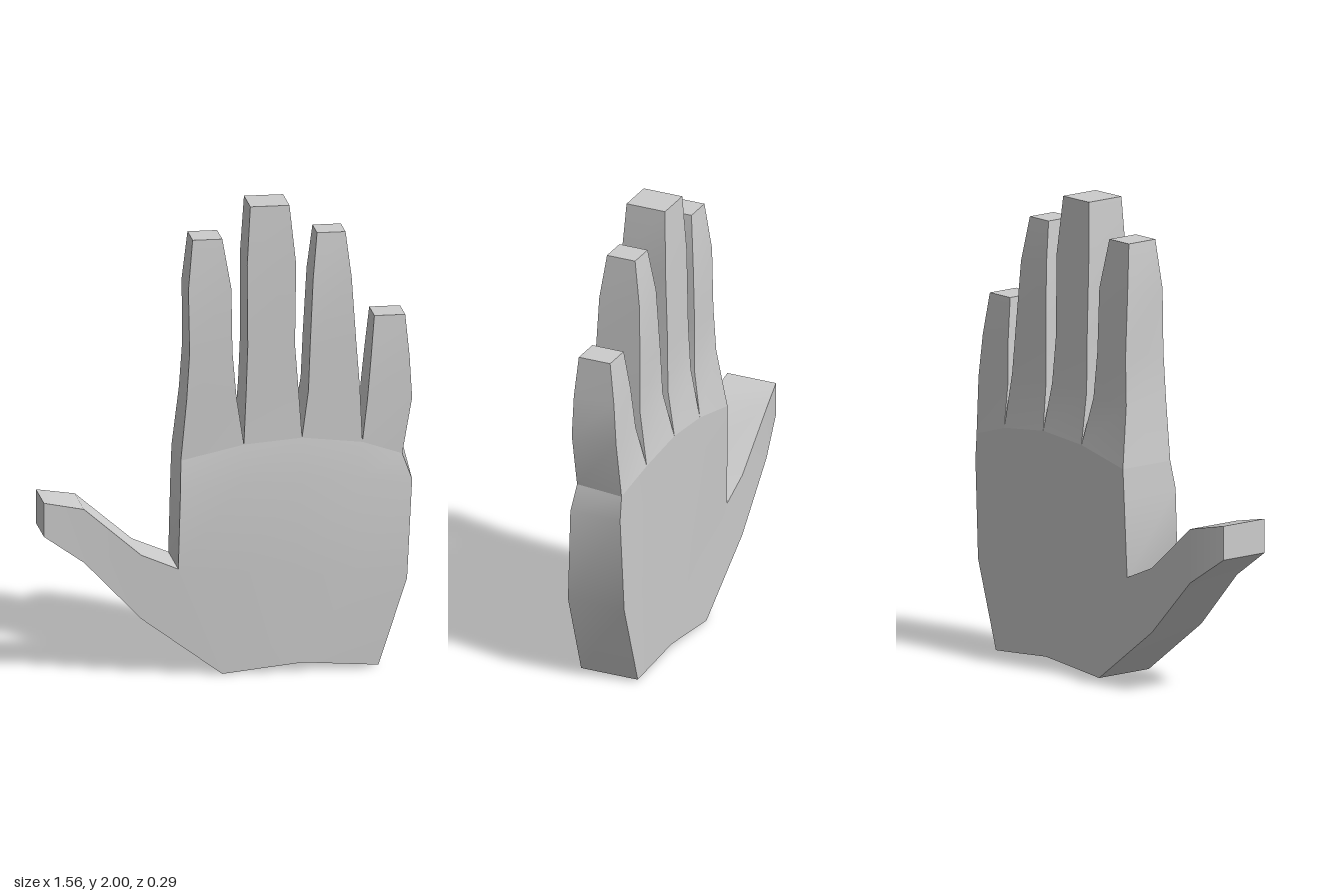
import * as THREE from 'three';
import { toCreasedNormals } from 'three/addons/utils/BufferGeometryUtils.js';

const material = new THREE.MeshStandardMaterial({ color: 0xcccccc });

// Closed slab from rows of points [x, y, zFront, zBack, xBack = x].
// Rows run along the part; columns run across it.
function slab(name, rows, { capStart = false, capEnd = false } = {}) {
  const n = rows[0].length;
  const positions = [];
  const index = [];
  for (const row of rows) {
    for (const [x, y, zf] of row) positions.push(x, y, zf);
    for (const [x, y, , zb, xb = x] of row) positions.push(xb, y, zb);
  }
  const F = (r, c) => r * 2 * n + c;
  const B = (r, c) => F(r, c) + n;
  const quad = (a, b, c, d) => index.push(a, b, c, a, c, d);
  const last = rows.length - 1;

  for (let r = 0; r < last; r++) {
    for (let c = 0; c < n - 1; c++) {
      quad(F(r, c), F(r, c + 1), F(r + 1, c + 1), F(r + 1, c));
      quad(B(r, c + 1), B(r, c), B(r + 1, c), B(r + 1, c + 1));
    }
    quad(B(r, 0), F(r, 0), F(r + 1, 0), B(r + 1, 0));
    quad(F(r, n - 1), B(r, n - 1), B(r + 1, n - 1), F(r + 1, n - 1));
  }
  for (let c = 0; c < n - 1; c++) {
    if (capStart) quad(B(0, c), B(0, c + 1), F(0, c + 1), F(0, c));
    if (capEnd) quad(F(last, c), F(last, c + 1), B(last, c + 1), B(last, c));
  }

  const geometry = new THREE.BufferGeometry();
  geometry.setAttribute('position', new THREE.Float32BufferAttribute(positions, 3));
  geometry.setIndex(index);
  const mesh = new THREE.Mesh(toCreasedNormals(geometry, Math.PI / 6), material);
  mesh.name = name;
  return mesh;
}

// Finger roots, shared by the palm's top edge and the fingers
const roots = [
  [-0.2, 0.92, 0.115, -0.145],
  [0.065, 0.98, 0.12, -0.145],
  [0.31, 1.0, 0.12, -0.145],
  [0.565, 0.97, 0.115, -0.14],
  [0.735, 0.91, 0.1, -0.12, 0.765],
];

// Corners shared by the palm and the thumb
const heel = [-0.03, 0, 0.143, -0.13];
const crotch = [-0.215, 0.46, 0.143, -0.135];

// Each ring above the root: [y, xLeft, xRight, zFront, zBack]
const fingers = {
  indexFinger: [
    [1.18, -0.175, 0.035, 0.113, -0.105],
    [1.38, -0.162, 0.018, 0.11, -0.098],
    [1.65, -0.166, 0.015, 0.102, -0.09],
    [1.86, -0.145, -0.02, 0.08, -0.065],
  ],
  middleFinger: [
    [1.2, 0.075, 0.296, 0.116, -0.108],
    [1.4, 0.082, 0.281, 0.115, -0.1],
    [1.75, 0.08, 0.286, 0.113, -0.092],
    [2.0, 0.095, 0.26, 0.1, -0.078],
  ],
  ringFinger: [
    [1.2, 0.338, 0.555, 0.113, -0.105],
    [1.4, 0.346, 0.54, 0.11, -0.098],
    [1.68, 0.36, 0.522, 0.1, -0.085],
    [1.87, 0.38, 0.5, 0.075, -0.055],
  ],
  littleFinger: [
    [1.15, 0.588, 0.776, 0.105, -0.1],
    [1.33, 0.604, 0.766, 0.1, -0.085],
    [1.505, 0.62, 0.75, 0.085, -0.06],
  ],
};

export function createModel() {
  const hand = new THREE.Group();
  hand.name = 'hand';

  // Palm, from the wrist up to the finger roots
  hand.add(slab('palm', [
    [heel, [0.14, 0.018, 0.143, -0.13], [0.31, 0.035, 0.14, -0.13],
      [0.47, 0.022, 0.135, -0.13], [0.63, 0.01, 0.132, -0.13]],
    [crotch, [0.03, 0.44, 0.145, -0.136], [0.28, 0.42, 0.143, -0.136],
      [0.53, 0.4, 0.137, -0.132], [0.75, 0.38, 0.135, -0.125]],
    [[-0.205, 0.8, 0.14, -0.143], [0.06, 0.82, 0.143, -0.143], [0.31, 0.83, 0.143, -0.143],
      [0.565, 0.82, 0.132, -0.137], [0.775, 0.8, 0.112, -0.118]],
    roots,
  ], { capStart: true }));

  // Four tapering fingers
  Object.entries(fingers).forEach(([name, rings], i) => {
    const rows = rings.map(([y, xl, xr, zf, zb]) => [[xl, y, zf, zb], [xr, y, zf, zb]]);
    hand.add(slab(name, [[roots[i], roots[i + 1]], ...rows], { capEnd: true }));
  });

  // Thumb, splayed out from the side of the palm
  hand.add(slab('thumb', [
    [heel, crotch],
    [[-0.37, 0.25, 0.14, -0.132], [-0.37, 0.525, 0.14, -0.132]],
    [[-0.61, 0.5, 0.13, -0.128], [-0.61, 0.73, 0.13, -0.128]],
    [[-0.78, 0.62, 0.135, -0.09], [-0.78, 0.765, 0.135, -0.09]],
  ], { capEnd: true }));

  return hand;
}
